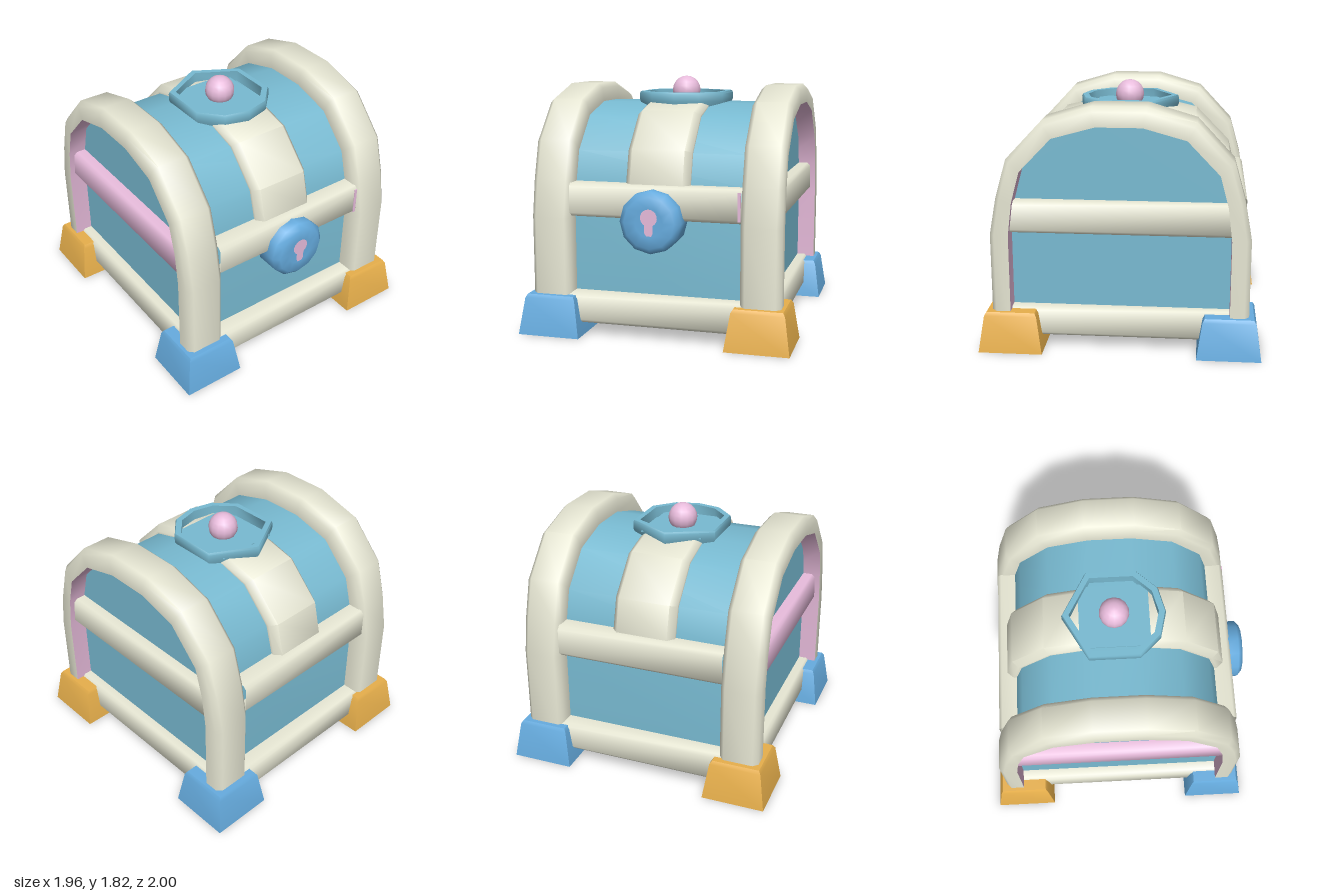
import * as THREE from 'three';
import { toCreasedNormals } from 'three/addons/utils/BufferGeometryUtils.js';

const paint = (name, color) => {
  const m = new THREE.MeshStandardMaterial({ color, side: THREE.DoubleSide });
  m.name = name;
  return m;
};

// Skins a row of cross-sections (arrays of [x, y, z]) into one surface
function loft(stations, crease = 0.9, closed = false) {
  const n = stations[0].length, index = [];
  const rows = closed ? stations.length : stations.length - 1;
  for (let i = 0; i < rows; i++) {
    const k = (i + 1) % stations.length;
    for (let j = 0; j < n - 1; j++) {
      const a = i * n + j, b = k * n + j;
      index.push(a, b, a + 1, a + 1, b, b + 1);
    }
  }
  const g = new THREE.BufferGeometry();
  g.setAttribute('position', new THREE.Float32BufferAttribute(stations.flat(2), 3));
  g.setIndex(index);
  return toCreasedNormals(g, crease);
}

// Completes a half path of [z, y] points over the top to the other side
const mirrorPath = (half) => [...half, ...half.map(([z, y]) => [-z, y]).reverse()];

// Bent bar between an inner and an outer path, with chamfered outer edges
function band(inner, outer, x0, x1, chamfer, keep) {
  return loft(inner.map(([zi, yi], i) => {
    const [zo, yo] = outer[i];
    const z = zi + (zo - zi) * keep, y = yi + (yo - yi) * keep;
    return [[x0, yi, zi], [x0, y, z], [x0 + chamfer, yo, zo], [x1 - chamfer, yo, zo], [x1, y, z], [x1, yi, zi]];
  }));
}
const sheet = (path, x0, x1) => loft(path.map(([z, y]) => [[x0, y, z], [x1, y, z]]), 0.6);

// Straight bar along x, facing +z, softly rounded on its outer edges
function beam(half, y0, y1, z0, z1, c = 0.025) {
  const section = [[y0, z0], [y0, z1 - c], [y0 + c, z1], [y1 - c, z1], [y1, z1 - c], [y1, z0], [y0, z0]];
  return loft([half, -half].map((x) => section.map(([y, z]) => [x, y, z])));
}

export function createModel() {
  const teal = paint('teal', 0x78bad1), cream = paint('cream', 0xe5e5d2), blue = paint('blue', 0x66acdf);
  const gold = paint('gold', 0xe8b04c), pink = paint('pink', 0xe7bbdb);
  const model = new THREE.Group();
  model.name = 'chest';
  const add = (name, geometry, material, x = 0, y = 0, z = 0) => {
    const mesh = new THREE.Mesh(geometry, material);
    mesh.name = name;
    mesh.position.set(x, y, z);
    model.add(mesh);
    return mesh;
  };

  const inner = mirrorPath([[0.775, 0.1], [0.775, 0.85], [0.745, 1.09], [0.685, 1.31], [0.46, 1.545], [0.16, 1.628]]);
  const outer = mirrorPath([[0.91, 0.1], [0.91, 0.85], [0.862, 1.11], [0.782, 1.39], [0.525, 1.665], [0.187, 1.765]]);

  // Front, lid and back in one bent sheet, with a lining inside the lid
  add('shell', sheet(inner, -0.615, 0.615), teal);
  const liningPath = mirrorPath([[0.765, 0.87], [0.737, 1.085], [0.677, 1.304], [0.456, 1.536], [0.16, 1.618]]);
  add('lidLining', sheet(liningPath, -0.615, 0.615), gold);

  // End panels and arched end frames with coloured inner faces
  const profileShape = (path) => new THREE.ShapeGeometry(new THREE.Shape(path.map(([z, y]) => new THREE.Vector2(z, y))));
  for (const s of [-1, 1]) {
    const side = s > 0 ? 'left' : 'right';
    add(side + 'EndPanel', profileShape(inner), teal, s * 0.765).rotation.y = s * Math.PI / 2;
    add(side + 'LidEndLining', profileShape(liningPath), gold, s * 0.757).rotation.y = s * Math.PI / 2;
    const x0 = s > 0 ? 0.615 : -0.9, x1 = x0 + 0.285;
    add(side + 'Arch', band(inner, outer, x0, x1, 0.035, 0.75), cream);
    add(side + 'ArchLining', sheet(inner, x0, x1), pink);
  }

  // Middle belts and base rails on all four sides
  ['front', 'left', 'back', 'right'].forEach((side, i) => {
    const long = i % 2 === 0;
    const belt = long ? beam(0.62, 0.86, 1.095, 0.74, 0.88) : beam(0.79, 0.86, 1.088, 0.75, 0.86);
    const rail = long ? beam(0.65, 0.09, 0.305, 0.76, 0.9) : beam(0.8, 0.09, 0.305, 0.75, 0.85);
    add(side + 'Belt', belt, side === 'right' ? pink : cream).rotation.y = i * Math.PI / 2;
    add(side + 'Rail', rail, cream).rotation.y = i * Math.PI / 2;
  });
  add('beltEnd', new THREE.BoxGeometry(0.022, 0.2, 0.008), pink, 0.604, 0.977, 0.88);

  // Strap over the lid
  const strapIn = mirrorPath([[0.745, 1.0], [0.745, 1.09], [0.685, 1.31], [0.46, 1.545], [0.25, 1.6]]);
  const strapOut = mirrorPath([[0.815, 1.0], [0.812, 1.1], [0.755, 1.335], [0.505, 1.59], [0.25, 1.65]]);
  add('strap', band(strapIn, strapOut, -0.233, 0.233, 0.042, 0.3), cream);

  // Faceted crest ring with a plate and a round knob
  const rim = [[0, -0.37], [0.32, -0.19], [0.32, 0.17], [0.18, 0.32], [0, 0.365], [-0.18, 0.32], [-0.32, 0.17], [-0.32, -0.19]];
  const ringProfile = [[0.86, 1.58], [0.86, 1.71], [0.98, 1.71], [1, 1.695], [1, 1.645], [0.92, 1.58], [0.86, 1.58]];
  add('crestRing', loft(rim.map(([x, z]) => ringProfile.map(([k, y]) => [x * k, y, z * k])), 1.1, true), teal);
  add('crestPlate', new THREE.BoxGeometry(0.465, 0.009, 0.5), teal, 0, 1.6525, 0);
  add('knob', new THREE.SphereGeometry(0.108, 14, 10), pink, 0, 1.715, 0);

  // Round lock with a keyhole
  const lockProfile = [[0, 0.745], [0.19, 0.745], [0.22, 0.775], [0.22, 0.95], [0.18, 0.985], [0.1, 0.985], [0, 0.98]];
  const lockGeometry = new THREE.LatheGeometry(lockProfile.map(([r, h]) => new THREE.Vector2(r, h)), 12);
  lockGeometry.rotateX(Math.PI / 2);
  add('lock', toCreasedNormals(lockGeometry, 1), blue, 0, 0.857, 0);
  const keyhole = new THREE.Shape();
  keyhole.moveTo(-0.03, 0.79);
  keyhole.lineTo(-0.018, 0.768);
  keyhole.lineTo(0.018, 0.768);
  keyhole.lineTo(0.03, 0.79);
  keyhole.lineTo(0.03, 0.843);
  keyhole.absarc(0, 0.895, 0.06, -Math.PI / 3, Math.PI * 4 / 3, false);
  keyhole.closePath();
  add('keyhole', new THREE.ShapeGeometry(keyhole, 8), pink, 0, 0, 0.988);

  // Hollow tapered feet, gold on one diagonal and blue on the other
  const footProfile = [[0.2275, 0], [0.187, 0.265], [0.172, 0.29], [0, 0.29]];
  const footGeometry = toCreasedNormals(new THREE.LatheGeometry(
    footProfile.map(([r, h]) => new THREE.Vector2(r * Math.SQRT2, h)), 4, Math.PI / 4), 1);
  for (const sx of [-1, 1]) {
    for (const sz of [-1, 1]) {
      add((sz > 0 ? 'front' : 'back') + (sx > 0 ? 'Left' : 'Right') + 'Foot', footGeometry,
        sx === sz ? gold : blue, sx * 0.7525, 0, sz * 0.7725);
    }
  }
  return model;
}
